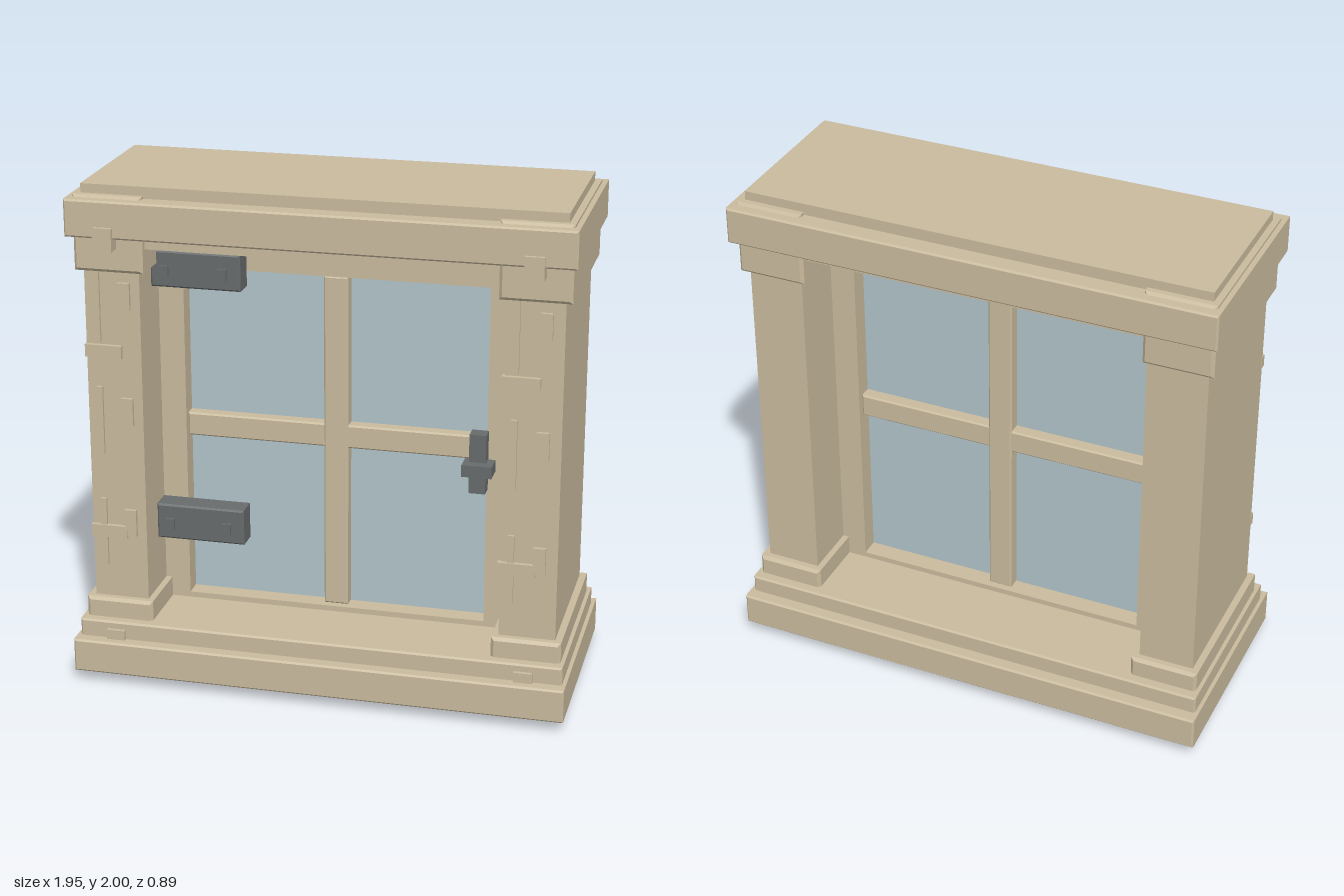
import * as THREE from 'three';

const stone = new THREE.MeshStandardMaterial({ color: 0xc9ba9d });
stone.name = 'sandstone';
const glass = new THREE.MeshStandardMaterial({ color: 0xb0c3c8 });
glass.name = 'pale blue glass';
const metal = new THREE.MeshStandardMaterial({ color: 0x676b6c });
metal.name = 'dark iron';

// Box given by its limits on each axis; bevel > 0 chamfers every edge
function block(parent, name, material, [x0, x1], [y0, y1], [z0, z1], bevel = 0) {
  const w = x1 - x0, h = y1 - y0, d = z1 - z0;
  let geometry;
  if (bevel > 0) {
    const a = w / 2 - bevel, b = h / 2 - bevel;
    const shape = new THREE.Shape([
      new THREE.Vector2(-a, -b), new THREE.Vector2(a, -b),
      new THREE.Vector2(a, b), new THREE.Vector2(-a, b),
    ]);
    geometry = new THREE.ExtrudeGeometry(shape, {
      depth: d - 2 * bevel, bevelEnabled: true, bevelSegments: 1,
      bevelSize: bevel, bevelThickness: bevel,
    });
    geometry.translate(0, 0, bevel - d / 2);
  } else {
    geometry = new THREE.BoxGeometry(w, h, d);
  }
  const mesh = new THREE.Mesh(geometry, material);
  mesh.name = name;
  mesh.position.set((x0 + x1) / 2, (y0 + y1) / 2, (z0 + z1) / 2);
  parent.add(mesh);
  return mesh;
}

function group(parent, name) {
  const g = new THREE.Group();
  g.name = name;
  parent.add(g);
  return g;
}

// Limits of a span mirrored to side s
const span = (s, a, b) => (s > 0 ? [a, b] : [-b, -a]);

export function createModel() {
  const model = new THREE.Group();
  model.name = 'stoneWindow';

  // Stepped sill and underside panel
  const base = group(model, 'base');
  block(base, 'sill', stone, [-0.975, 0.975], [0.045, 0.18], [-0.445, 0.445], 0.007);
  block(base, 'sillStep', stone, [-0.96, 0.96], [0.17, 0.25], [-0.395, 0.395], 0.007);
  block(base, 'undersidePanel', stone, [-0.695, 0.695], [0.01, 0.06], [-0.32, 0.32], 0.007);

  // Lintel: core slab and projecting moulding
  const lintel = group(model, 'lintel');
  block(lintel, 'lintelCore', stone, [-0.92, 0.92], [1.76, 2], [-0.32, 0.32]);
  block(lintel, 'lintelMoulding', stone, [-0.965, 0.965], [1.81, 1.955], [-0.395, 0.395], 0.007);

  // Pillars with foot and capital
  for (const s of [-1, 1]) {
    const pillar = group(model, s > 0 ? 'leftPillar' : 'rightPillar');
    block(pillar, 'shaft', stone, span(s, 0.7, 0.918), [0, 1.9], [-0.32, 0.32]);
    block(pillar, 'foot', stone, span(s, 0.675, 0.945), [0.035, 0.33], [-0.355, 0.355], 0.012);
    block(pillar, 'capital', stone, span(s, 0.675, 0.945), [1.67, 1.965], [-0.355, 0.355], 0.012);

    // Raised stones on the front; both shafts use the same layout, shifted
    const ox = s > 0 ? 0.69 : -0.92;
    for (const [y0, y1] of [[0.465, 0.745], [0.93, 1.205], [1.385, 1.68]])
      block(pillar, 'raisedStrip', stone, [ox + 0.037, ox + 0.062], [y0, y1], [0.31, 0.332]);
    for (const [y0, y1] of [[0.585, 0.635], [1.325, 1.375]])
      block(pillar, 'raisedBand', stone, [ox, ox + 0.145], [y0, y1], [0.31, 0.338]);
    for (const [y0, y1] of [[0.595, 0.705], [1.055, 1.165], [1.52, 1.625]])
      block(pillar, 'raisedStone', stone, [ox + 0.135, ox + 0.183], [y0, y1], [0.31, 0.335]);
    for (const [y0, y1] of [[0.17, 0.22], [1.765, 1.855]])
      block(pillar, 'keyStone', stone, span(s, 0.775, 0.848), [y0, y1], [0.34, 0.41]);
  }

  // Casement frame with a rectangular opening
  const casement = group(model, 'casement');
  const outline = new THREE.Shape([
    new THREE.Vector2(-0.7, 0.2), new THREE.Vector2(0.7, 0.2),
    new THREE.Vector2(0.7, 1.735), new THREE.Vector2(-0.7, 1.735),
  ]);
  outline.holes.push(new THREE.Path([
    new THREE.Vector2(-0.6, 0.272), new THREE.Vector2(-0.6, 1.635),
    new THREE.Vector2(0.6, 1.635), new THREE.Vector2(0.6, 0.272),
  ]));
  const frame = new THREE.Mesh(
    new THREE.ExtrudeGeometry(outline, { depth: 0.18, bevelEnabled: false }), stone);
  frame.name = 'windowFrame';
  frame.position.z = -0.09;
  casement.add(frame);

  // Glass and crossing bars
  block(casement, 'glassPane', glass, [-0.61, 0.61], [0.26, 1.645], [-0.015, 0.015]);
  block(casement, 'uprightBar', stone, [-0.048, 0.048], [0.275, 1.63], [-0.07, 0.07], 0.006);
  block(casement, 'crossBar', stone, [-0.6, 0.6], [0.938, 1.032], [-0.066, 0.066], 0.006);

  // Hinges with two bolts each
  for (const y of [0.61, 1.648]) {
    const hinge = group(model, 'hinge');
    block(hinge, 'hingePlate', metal, [-0.7, -0.345], [y - 0.072, y + 0.072], [0.085, 0.185], 0.007);
    for (const x of [-0.645, -0.415])
      block(hinge, 'hingeBolt', metal, [x - 0.017, x + 0.017], [y - 0.03, y + 0.015], [0.17, 0.197]);
  }

  // Latch
  const latch = group(model, 'latch');
  block(latch, 'latchPlate', metal, [0.54, 0.605], [0.828, 1.066], [0.085, 0.145]);
  block(latch, 'latchHandle', metal, [0.518, 0.635], [0.908, 0.955], [0.1, 0.185]);

  return model;
}
